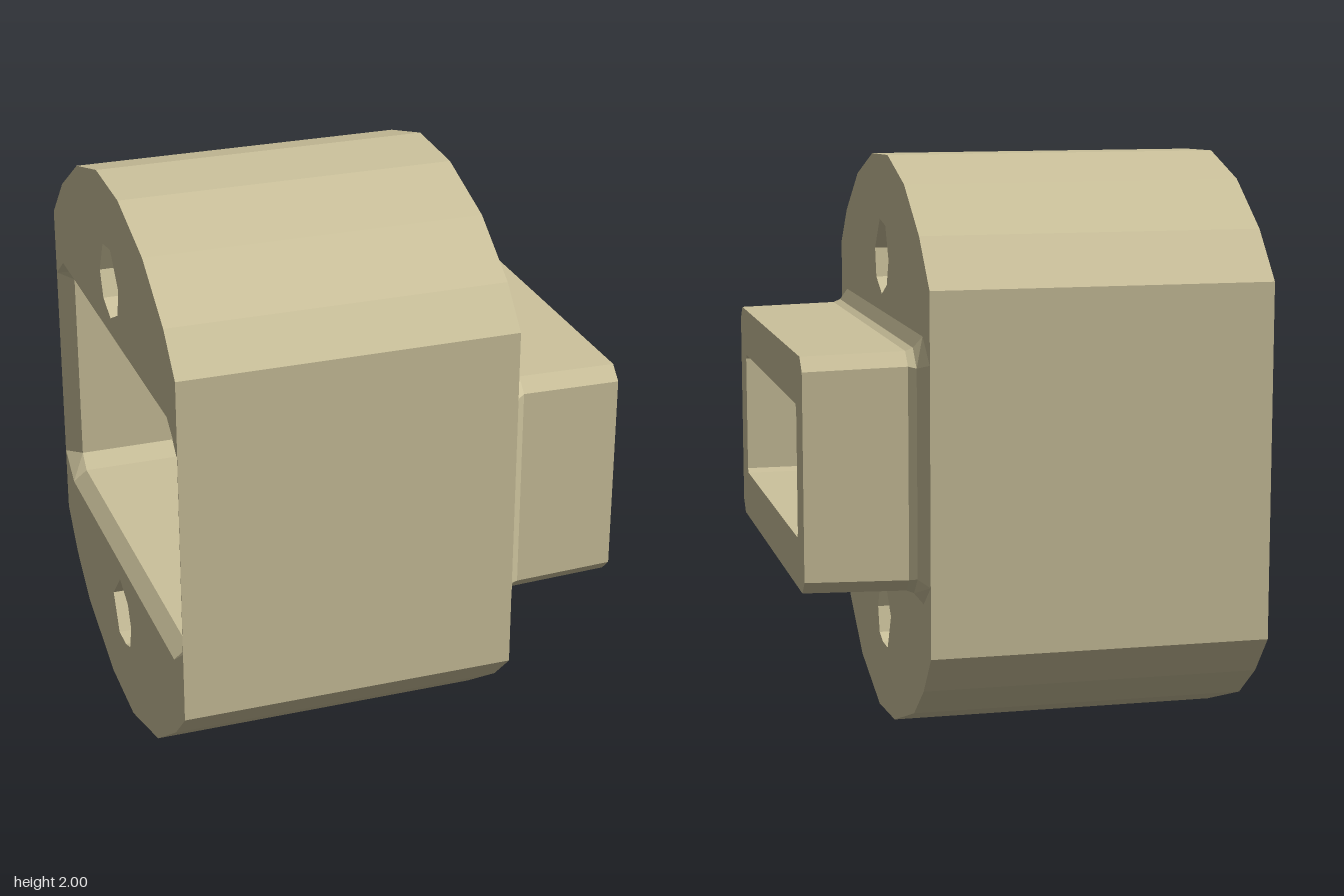
import * as THREE from 'three';

const BACK = -0.78, FACE = 0.38, TIP = 0.78, MID = 1.005;

// Sections are drawn as [u, y] seen from the +x end, counter-clockwise, u = -z
const outline = [
  [0.8, 0.4], [0.8, 1.61], [0.64, 1.77], [0.4, 1.92], [0.12, 2.0], [-0.16, 1.99], [-0.45, 1.9], [-0.68, 1.75],
  [-0.8, 1.62], [-0.8, 0.39], [-0.68, 0.27], [-0.44, 0.1], [-0.1, 0], [0.18, 0.02], [0.52, 0.14], [0.68, 0.26],
];
const upperBolt = [
  [0.125, 1.64], [0.07, 1.755], [-0.03, 1.77], [-0.12, 1.66], [-0.1, 1.56], [0, 1.51], [0.09, 1.55],
];
const lowerBolt = [
  [0.125, 0.38], [0.02, 0.49], [-0.08, 0.44], [-0.115, 0.36], [-0.09, 0.27], [-0.03, 0.25], [0.06, 0.25],
];

// Rectangle with cut corners
function rect(hu, hy, cu, cy = cu) {
  return [
    [hu, -hy + cy], [hu, hy - cy], [hu - cu, hy], [-hu + cu, hy],
    [-hu, hy - cy], [-hu, -hy + cy], [-hu + cu, -hy], [hu - cu, -hy],
  ].map(([u, y]) => [u, y + MID]);
}

// Skin through sections given as [x, points]; inward turns it inside out
function loft(sections, inward = false) {
  const pos = [], idx = [], n = sections[0][1].length;
  for (const [x, pts] of sections) for (const [u, y] of pts) pos.push(x, y, -u);
  for (let s = 0; s < sections.length - 1; s++) {
    for (let i = 0; i < n; i++) {
      const j = (i + 1) % n, a = s * n + i, b = s * n + j, c = b + n, d = a + n;
      if (inward) idx.push(a, c, b, a, d, c);
      else idx.push(a, b, c, a, c, d);
    }
  }
  const g = new THREE.BufferGeometry();
  g.setAttribute('position', new THREE.Float32BufferAttribute(pos, 3));
  g.setIndex(idx);
  g.computeVertexNormals();
  return g;
}

// Flat end plate with the connector opening and both bolt holes
function plate(x, opening, flip) {
  const vec = pts => pts.map(([u, y]) => new THREE.Vector2(u, y));
  const shape = new THREE.Shape(vec(outline));
  for (const h of [opening, upperBolt, lowerBolt]) shape.holes.push(new THREE.Path(vec(h)));
  const g = new THREE.ShapeGeometry(shape).rotateY(Math.PI / 2).translate(x, 0, 0);
  if (flip) {
    g.index.array.reverse();
    g.computeVertexNormals();
  }
  return g;
}

export function createModel() {
  const group = new THREE.Group();
  const material = new THREE.MeshStandardMaterial({ color: 0xccc29c, flatShading: true });
  const add = (name, geometry) => {
    const mesh = new THREE.Mesh(geometry, material);
    mesh.name = name;
    group.add(mesh);
  };

  // Body with flat flanks and rounded top and bottom
  const mouth = rect(0.798, 0.445, 0.11, 0.08);
  add('bodyWall', loft([[BACK, outline], [FACE, outline]]));
  add('spoutSidePlate', plate(FACE, mouth, false));
  add('socketSidePlate', plate(BACK, mouth, true));

  // Bolt holes through the body
  add('upperBoltHole', loft([[BACK, upperBolt], [FACE, upperBolt]], true));
  add('lowerBoltHole', loft([[BACK, lowerBolt], [FACE, lowerBolt]], true));

  // One skin: socket, ledge, channel, spout rim, spout wall and flared root
  const channel = rect(0.59, 0.222, 0.015);
  add('socketAndSpout', loft([
    [BACK, mouth],
    [BACK + 0.05, rect(0.735, 0.405, 0.05)],
    [-0.38, rect(0.725, 0.4, 0.05)],
    [-0.38, channel],
    [TIP, channel],
    [TIP, rect(0.715, 0.39, 0.045)],
    [FACE + 0.055, rect(0.72, 0.398, 0.045)],
    [FACE + 0.03, rect(0.737, 0.408, 0.06)],
    [FACE, mouth],
  ], true));

  return group;
}
